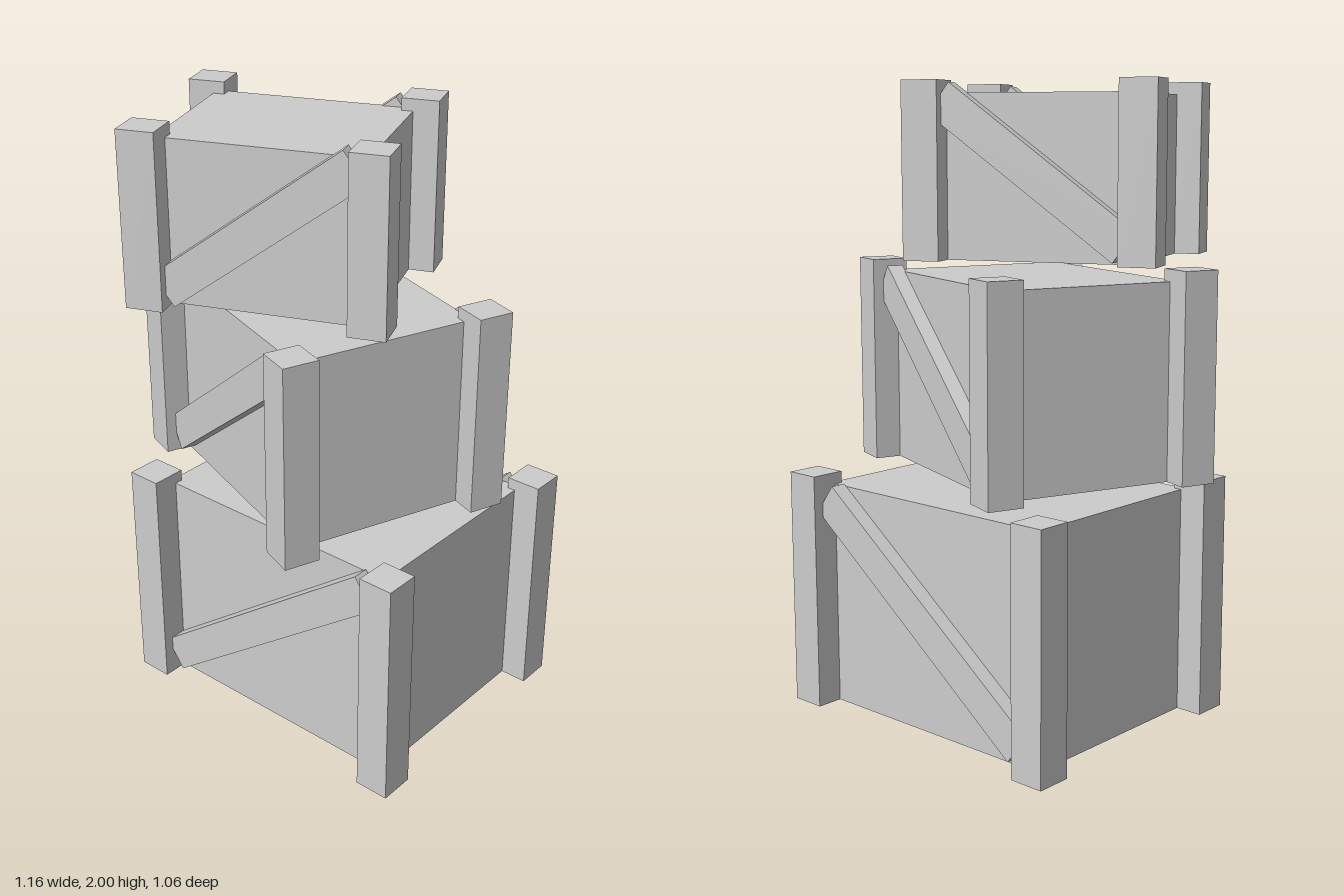
import * as THREE from 'three';

const POST = 0.115; // post thickness and brace width, the same on every crate

const wood = new THREE.MeshStandardMaterial({ color: 0xcccccc });
wood.name = 'pale grey wood';

function addBox(parent, name, size, position, tilt = 0) {
  const mesh = new THREE.Mesh(new THREE.BoxGeometry(...size), wood);
  mesh.name = name;
  mesh.position.set(...position);
  mesh.rotation.z = tilt;
  parent.add(mesh);
}

function createCrate(name, scale) {
  const crate = new THREE.Group();
  crate.name = name;
  const height = 0.768 * scale;
  const bodyHeight = height - 0.0375;

  // Solid body, flush with the post feet
  addBox(crate, 'body', [0.9 * scale, bodyHeight, 0.71 * scale], [0, bodyHeight / 2, 0]);

  for (const z of [-1, 1]) {
    // Corner posts rising above the lid
    for (const x of [-1, 1]) {
      addBox(crate, 'cornerPost', [POST, height, POST],
        [x * 0.4815 * scale, height / 2, z * 0.385 * scale]);
    }
    // Diagonal brace, rising towards +x on both faces
    addBox(crate, 'diagonalBrace', [1.03 * scale, POST, 0.052],
      [0, height / 2, z * 0.382 * scale], THREE.MathUtils.degToRad(36.7));
  }
  return crate;
}

export function createModel() {
  const model = new THREE.Group();
  model.name = 'crateStack';

  // name, scale, position, turn in degrees
  const crates = [
    ['bottomCrate', 1, [0.041, 0, -0.067], 0],
    ['middleCrate', 0.85, [-0.013, 0.79, -0.0125], -20],
    ['topCrate', 0.7, [-0.061, 1.4624, 0.075], 22.5],
  ];
  for (const [name, scale, position, turn] of crates) {
    const crate = createCrate(name, scale);
    crate.position.set(...position);
    crate.rotation.y = THREE.MathUtils.degToRad(turn);
    model.add(crate);
  }
  return model;
}
